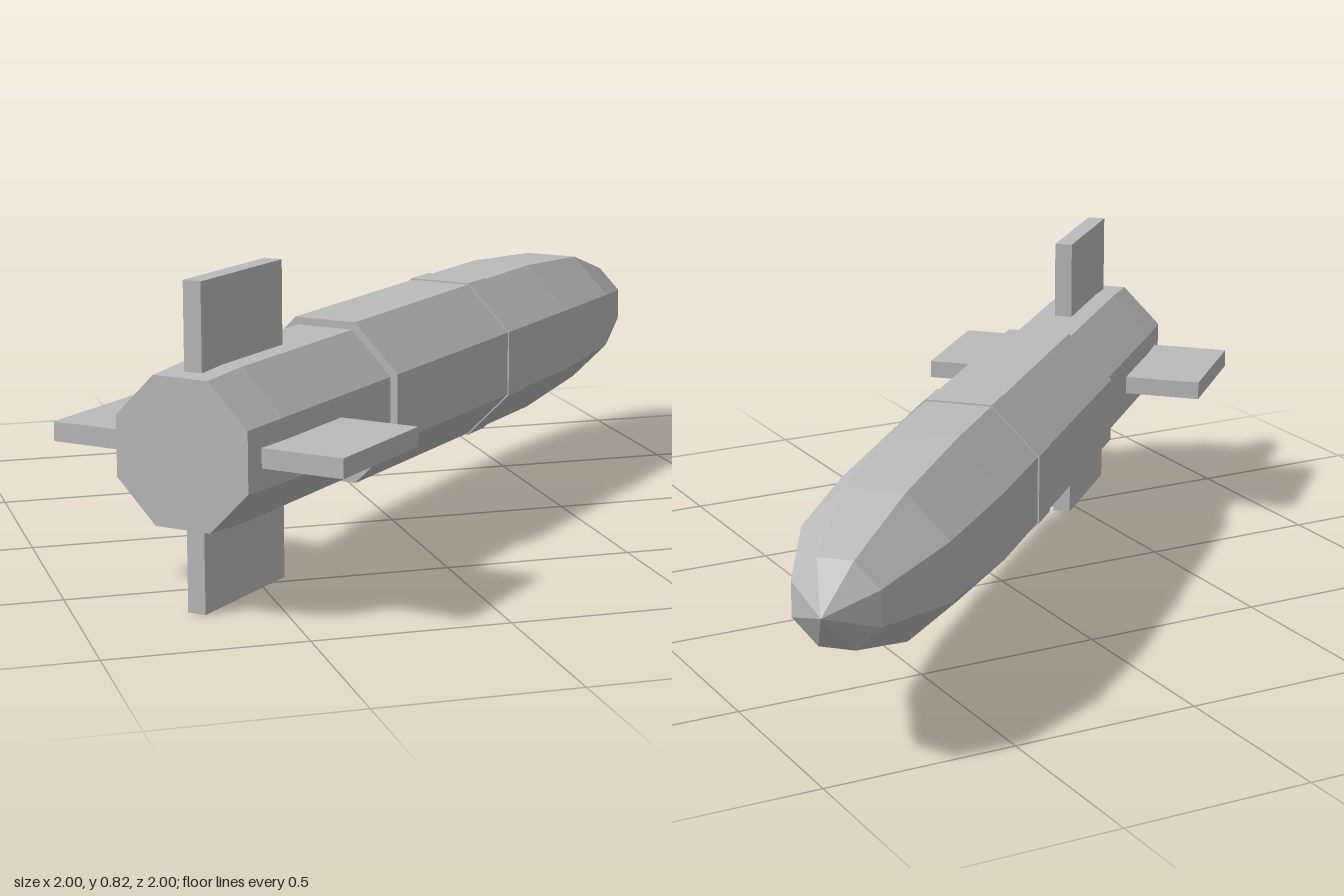
import * as THREE from 'three';

const AXIS_Y = 0.411;
const SIDES = 8;

export function createModel() {
  const model = new THREE.Group();
  model.name = 'rocket';
  const grey = new THREE.MeshStandardMaterial({ color: 0xbbbbbb });
  grey.name = 'grey';

  // Everything is built along +x, then turned to the diagonal
  const body = new THREE.Group();
  body.name = 'rocketBody';
  body.position.y = AXIS_Y;
  body.rotation.y = Math.PI / 4;
  model.add(body);

  // Faceted eight-sided section from [position along axis, half width across flats]
  function section(name, profile) {
    const k = 1 / Math.cos(Math.PI / SIDES);
    const points = profile.map(([s, a]) => new THREE.Vector2(a * k, s));
    const geo = new THREE.LatheGeometry(points, SIDES, Math.PI / SIDES).toNonIndexed();
    geo.rotateZ(-Math.PI / 2);
    geo.computeVertexNormals();
    const mesh = new THREE.Mesh(geo, grey);
    mesh.name = name;
    body.add(mesh);
  }

  section('tail', [[-1.06, 0], [-1.06, 0.186], [-0.91, 0.194], [-0.36, 0.194]]);
  section('mainTube', [[-0.368, 0], [-0.368, 0.214], [0.29, 0.214]]);
  section('collar', [[0.285, 0.21], [0.285, 0.218], [0.388, 0.218], [0.388, 0.21]]);
  section('noseCone', [[0.29, 0.214], [0.68, 0.213], [1.035, 0.187], [1.306, 0.109], [1.405, 0]]);

  // Four plain rectangular tail fins
  const inner = 0.17, outer = 0.411;
  for (let i = 0; i < 4; i++) {
    const geo = new THREE.BoxGeometry(0.376, outer - inner, 0.05);
    geo.translate(-0.815, (outer + inner) / 2, 0);
    const fin = new THREE.Mesh(geo, grey);
    fin.name = 'tailFin' + (i + 1);
    fin.rotation.x = i * Math.PI / 2;
    body.add(fin);
  }
  return model;
}
